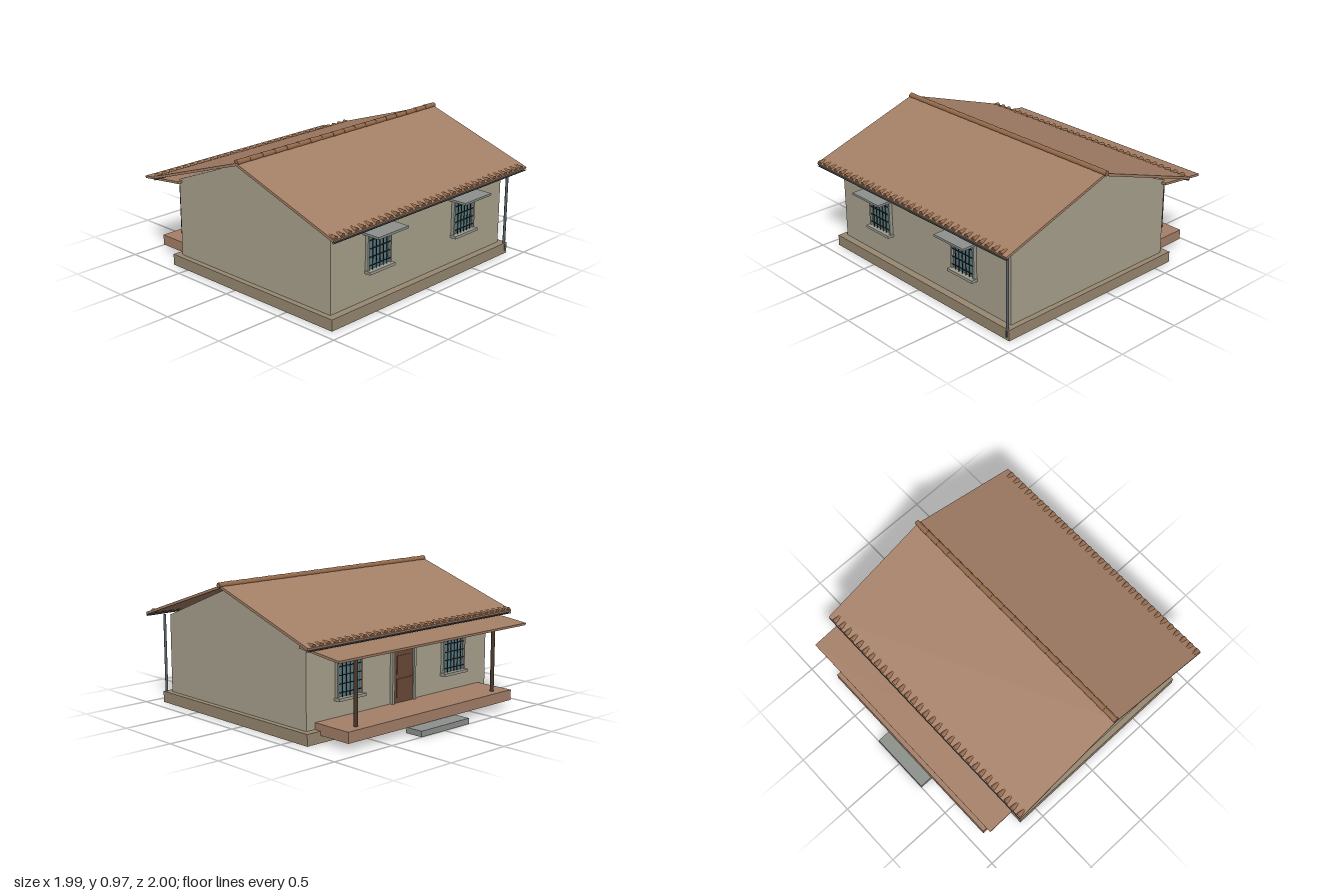
import * as THREE from 'three';

const C = {
  wall: 0xaaa38e, plinth: 0x988871, roof: 0xa47f66, tile: 0x94694a, porch: 0xa47f68,
  concrete: 0x8d918c, trim: 0x9b9a8e, glass: 0x5a7c82, iron: 0x24292b,
  wood: 0x6a4a36, post: 0x4a382c, gutter: 0x5a6062, brass: 0xb09050,
};
const mats = {};
const mat = (c) => (mats[c] ??= new THREE.MeshStandardMaterial({ color: C[c], side: THREE.DoubleSide }));

const CX = -0.007;      // middle of the house in x
const RIDGE_Z = 0.13;   // middle of the house in z

function add(parent, name, geo, c, x = 0, y = 0, z = 0) {
  const m = new THREE.Mesh(geo, mat(c));
  m.name = name;
  m.position.set(x, y, z);
  parent.add(m);
  return m;
}
const box = (parent, name, c, w, h, d, x, y, z) =>
  add(parent, name, new THREE.BoxGeometry(w, h, d), c, x, y, z);

// Thin slab running between two (z, y) points, spanning width w in x
function slope(parent, name, c, w, t, z0, y0, z1, y1, x) {
  const m = box(parent, name, c, w, t, Math.hypot(z1 - z0, y1 - y0), x, (y0 + y1) / 2, (z0 + z1) / 2);
  m.rotation.x = -Math.atan((y1 - y0) / (z1 - z0));
  return m;
}

// Sheltering slab over an opening, facing local +z
const canopy = (g, y) => box(g, 'canopy', 'concrete', 0.29, 0.016, 0.14, 0, y, 0.068);

// Barred window on a wall facing local +z, y0 = underside of the sill
function windowUnit(y0, canopyY) {
  const g = new THREE.Group();
  g.name = 'window';
  const w = 0.21, h = 0.235, mid = y0 + 0.02 + h / 2;
  box(g, 'glass', 'glass', w, h, 0.012, 0, mid, 0.004);
  for (const s of [-1, 1]) box(g, 'jamb', 'trim', 0.013, h, 0.024, s * (w / 2 + 0.004), mid, 0.012);
  box(g, 'lintel', 'trim', 0.232, 0.014, 0.026, 0, mid + h / 2 + 0.005, 0.013);
  box(g, 'sill', 'trim', 0.245, 0.02, 0.05, 0, y0 + 0.01, 0.025);
  for (let i = -2; i <= 2; i++)
    add(g, 'verticalBar', new THREE.CylinderGeometry(0.003, 0.003, h, 6), 'iron', i * 0.034, mid, 0.022);
  for (let i = 0; i < 4; i++)
    box(g, 'crossBar', 'iron', w, 0.005, 0.005, 0, mid + (i - 1.5) * 0.058, 0.022);
  canopy(g, canopyY);
  return g;
}

// Door with frame, panels and knob, facing local +z
function doorUnit(y0, y1) {
  const g = new THREE.Group();
  g.name = 'door';
  const h = y1 - y0, mid = (y0 + y1) / 2;
  box(g, 'doorLeaf', 'wood', 0.19, h, 0.014, 0, mid, 0.006);
  for (const s of [-1, 1]) {
    box(g, 'doorJamb', 'trim', 0.02, h, 0.026, s * 0.105, mid, 0.012);
    box(g, 'doorPanel', 'wood', 0.13, h * 0.36, 0.006, 0, mid + s * h * 0.22, 0.015);
  }
  box(g, 'doorHead', 'trim', 0.23, 0.02, 0.026, 0, y1 + 0.008, 0.012);
  add(g, 'doorKnob', new THREE.SphereGeometry(0.007, 10, 8), 'brass', 0.078, mid, 0.02);
  canopy(g, 0.54);
  return g;
}

export function createModel() {
  const house = new THREE.Group();
  house.name = 'house';

  // Plinth and gabled walls
  box(house, 'plinth', 'plinth', 1.83, 0.08, 1.56, CX, 0.04, RIDGE_Z);
  const gable = new THREE.Shape([
    [-0.727, 0.08], [0.727, 0.08], [0.727, 0.645], [0, 0.935], [-0.727, 0.645],
  ].map(([a, b]) => new THREE.Vector2(a, b)));
  const walls = new THREE.ExtrudeGeometry(gable, { depth: 1.75, bevelEnabled: false });
  walls.translate(0, 0, -0.875).rotateY(Math.PI / 2);
  add(house, 'walls', walls, 'wall', CX, 0, RIDGE_Z);

  // Roof slopes, eave tiles and gutters, front (+1) and back (-1)
  const tileGeo = new THREE.CylinderGeometry(0.019, 0.012, 0.06, 10);
  const gutterGeo = new THREE.CylinderGeometry(0.011, 0.011, 1.97, 10, 1, true, Math.PI / 2, Math.PI);
  gutterGeo.rotateZ(Math.PI / 2);
  if (gutterGeo.boundingBox === null) gutterGeo.computeBoundingBox();
  for (const s of [1, -1]) {
    const side = new THREE.Group();
    side.name = s > 0 ? 'frontRoof' : 'backRoof';
    house.add(side);
    slope(side, 'roofSlope', 'roof', 1.975, 0.018, RIDGE_Z, 0.94, RIDGE_Z + s * 0.865, 0.65, -0.01);
    for (let i = 0; i < 31; i++) {
      const t = add(side, 'eaveTile', tileGeo, 'tile', -0.975 + i * 0.0632, 0.664, RIDGE_Z + s * 0.832);
      t.rotation.x = s * (Math.PI / 2 + 0.15);
    }
    const gutter = new THREE.CylinderGeometry(0.01, 0.01, 1.97, 10, 1, true, -Math.PI / 2, Math.PI);
    gutter.rotateX(Math.PI / 2).rotateY(Math.PI / 2);
    add(side, 'gutter', gutter, 'gutter', -0.01, 0.641, RIDGE_Z + s * 0.86);
  }

  // Overlapping ridge tiles
  const ridgeGeo = new THREE.CylinderGeometry(0.021, 0.018, 0.116, 14);
  ridgeGeo.rotateZ(Math.PI / 2);
  for (let i = 0; i < 18; i++) add(house, 'ridgeTile', ridgeGeo, 'tile', -0.937 + i * 0.1099, 0.951, RIDGE_Z);

  // Downspout with its outlet shoe
  add(house, 'downspout', new THREE.CylinderGeometry(0.01, 0.01, 0.615, 10), 'gutter', 0.885, 0.337, 0.902);
  box(house, 'downspoutShoe', 'gutter', 0.012, 0.045, 0.016, 0.885, 0.045, 0.908);

  // Front windows
  for (const x of [-0.445, 0.43]) {
    const w = windowUnit(0.27, 0.553);
    w.position.set(x, 0, 0.857);
    house.add(w);
  }

  // Back windows and door
  const back = new THREE.Group();
  back.name = 'backOpenings';
  back.position.set(CX, 0, -0.597);
  back.rotation.y = Math.PI;
  for (const x of [-0.51, 0.51]) {
    const w = windowUnit(0.24, 0.54);
    w.position.x = x;
    back.add(w);
  }
  back.add(doorUnit(0.125, 0.49));
  house.add(back);

  // Porch: floor, step, posts and lean-to roof
  const porch = new THREE.Group();
  porch.name = 'porch';
  house.add(porch);
  box(porch, 'porchFloor', 'porch', 1.6, 0.075, 0.31, CX, 0.088, -0.75);
  box(porch, 'step', 'concrete', 0.47, 0.04, 0.14, -0.01, 0.02, -0.93);
  for (const s of [-1, 1])
    add(porch, 'porchPost', new THREE.CylinderGeometry(0.014, 0.014, 0.475, 14), 'post', CX + s * 0.67, 0.36, -0.837);
  slope(porch, 'porchRoof', 'roof', 1.82, 0.016, -0.57, 0.631, -0.935, 0.591, CX);

  return house;
}
